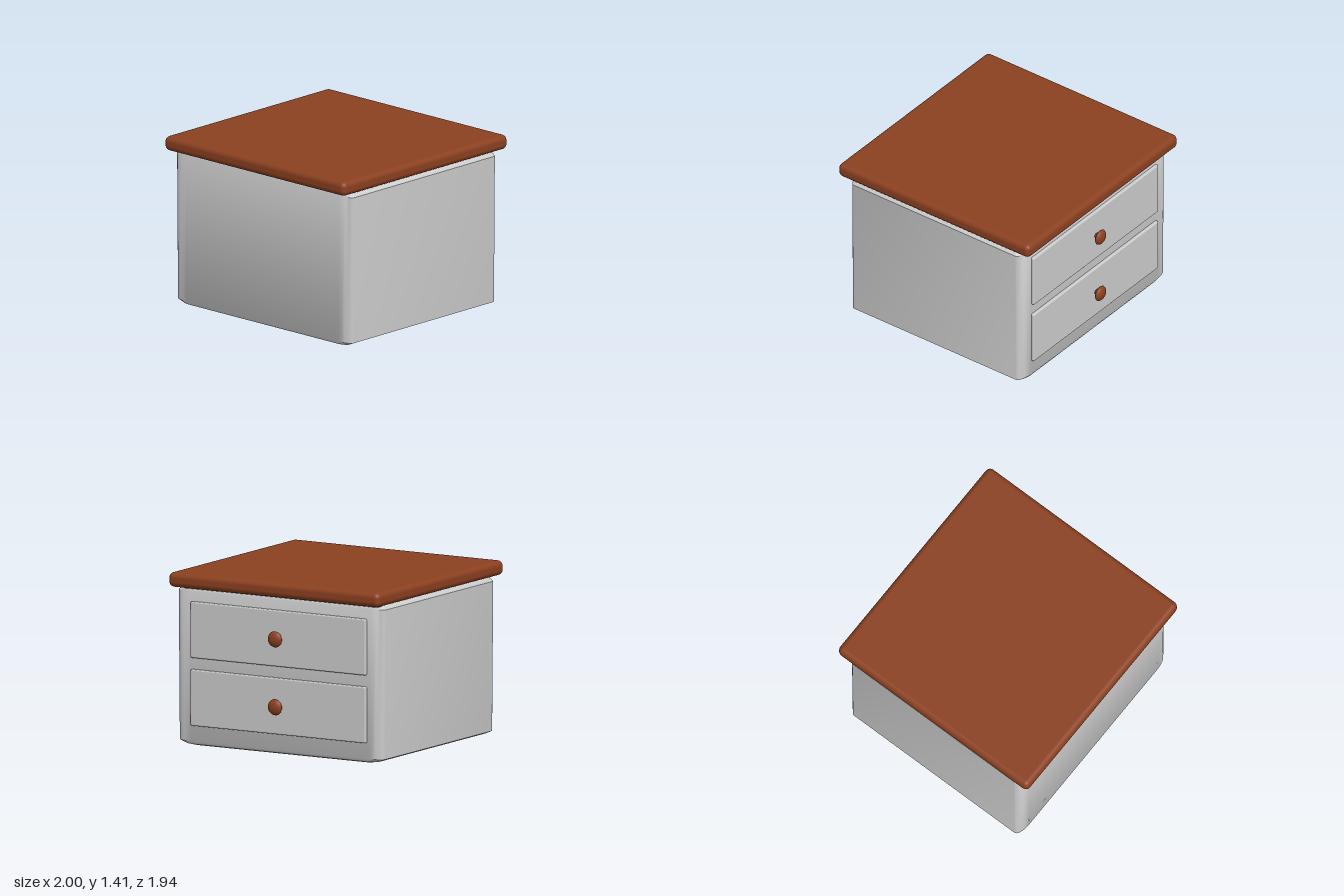
import * as THREE from 'three';
import { toCreasedNormals } from 'three/addons/utils/BufferGeometryUtils.js';
import { RoundedBoxGeometry } from 'three/addons/geometries/RoundedBoxGeometry.js';

const grey = new THREE.MeshStandardMaterial({ color: 0xcccccc });
const wood = new THREE.MeshStandardMaterial({ color: 0x8b4020 });

// Rounded-rectangle rings stacked upward and closed by flat caps.
// Each ring: [y, half width x, half depth z, corner radius x, corner radius z]
function loft(rings, steps = 6) {
  const n = 4 * (steps + 1);
  const pos = [];
  const index = [];
  for (const [y, hx, hz, rx, rz] of rings) {
    for (let q = 0; q < 4; q++) {
      const sx = q === 0 || q === 3 ? 1 : -1;
      const sz = q < 2 ? 1 : -1;
      for (let i = 0; i <= steps; i++) {
        const a = (q + i / steps) * Math.PI / 2;
        pos.push(sx * (hx - rx) + rx * Math.cos(a), y, sz * (hz - rz) + rz * Math.sin(a));
      }
    }
  }
  for (let r = 0; r < rings.length - 1; r++) {
    for (let i = 0; i < n; i++) {
      const a = r * n + i;
      const b = r * n + (i + 1) % n;
      index.push(a, a + n, b, b, a + n, b + n);
    }
  }
  const last = (rings.length - 1) * n;
  for (let i = 1; i < n - 1; i++) {
    index.push(0, i, i + 1, last, last + i + 1, last + i);
  }
  const geo = new THREE.BufferGeometry();
  geo.setAttribute('position', new THREE.Float32BufferAttribute(pos, 3));
  geo.setIndex(index);
  return toCreasedNormals(geo, 0.6);
}

export function createModel() {
  const model = new THREE.Group();
  model.name = 'drawerCabinet';

  const add = (name, geo, mat, x, y, z) => {
    const mesh = new THREE.Mesh(geo, mat);
    mesh.name = name;
    mesh.position.set(x, y, z);
    model.add(mesh);
    return mesh;
  };

  // Cabinet body with softened edges
  add('body', loft([
    [0, 0.84, 0.83, 0.06, 0.03],
    [0.01, 0.91, 0.855, 0.1, 0.04],
    [0.035, 0.97, 0.87, 0.13, 0.05],
    [1.26, 0.98, 0.87, 0.13, 0.05],
    [1.28, 0.965, 0.86, 0.12, 0.05],
    [1.3, 0.93, 0.84, 0.1, 0.04],
  ]), grey, 0, 0, 0);

  // Flared moulding below the top
  add('moulding', loft([
    [1.26, 0.92, 0.83, 0.05, 0.04],
    [1.285, 0.94, 0.87, 0.05, 0.04],
    [1.3, 0.955, 0.905, 0.05, 0.04],
  ]), grey, 0, 0, 0);

  // Overhanging wooden top
  add('top', new RoundedBoxGeometry(2, 0.12, 1.94, 5, 0.045), wood, 0, 1.355, 0);

  // Knob profile: slim stem, flared cup and domed cap
  const profile = [
    [0, -0.01], [0.022, -0.01], [0.022, 0.012], [0.035, 0.022], [0.06, 0.034],
    [0.066, 0.042], [0.06, 0.054], [0.045, 0.066], [0.023, 0.073], [0, 0.075],
  ].map(([r, y]) => new THREE.Vector2(r, y));
  const knobGeo = new THREE.LatheGeometry(profile, 32);
  knobGeo.rotateX(-Math.PI / 2);

  // Two drawers with knobs on the back side
  const drawerGeo = new RoundedBoxGeometry(1.66, 0.46, 0.05, 3, 0.012);
  [['lower', 0.395], ['upper', 0.95]].forEach(([level, y]) => {
    add(level + 'Drawer', drawerGeo, grey, 0, y, -0.871);
    add(level + 'Knob', knobGeo, wood, 0, y, -0.895);
  });

  return model;
}
